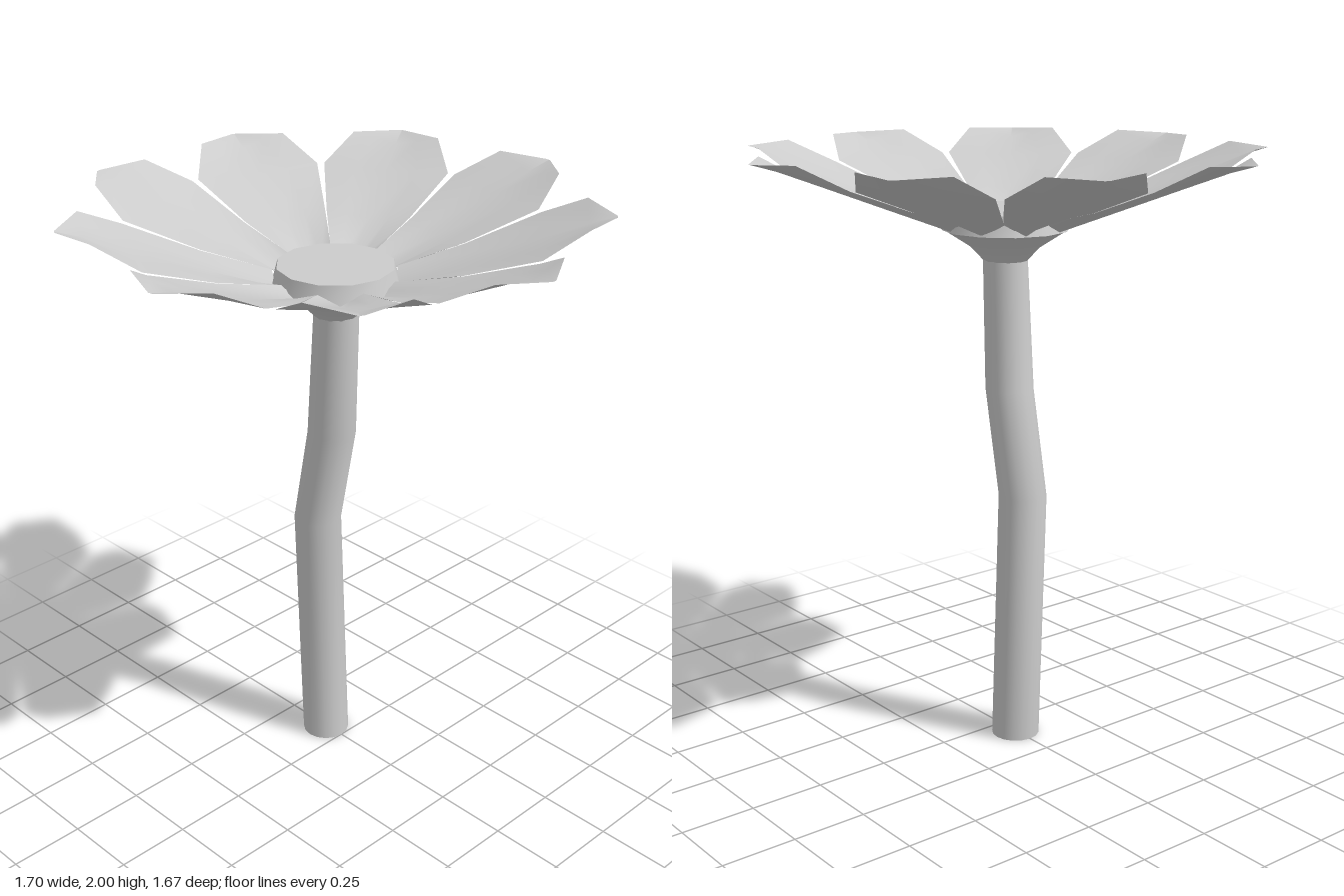
import * as THREE from 'three';
import { toCreasedNormals } from 'three/addons/utils/BufferGeometryUtils.js';

const FLOWER_Z = -0.025;
const PETALS = 9;

// Bent stem: each ring of a cylinder is moved to its own height, depth and radius
function stemGeometry() {
  const rings = [[1.66, -0.022, 0.073], [1.22, -0.045, 0.08], [0.87, -0.115, 0.08], [0, -0.08, 0.081]];
  const geo = new THREE.CylinderGeometry(1, 1, 3, 16, 3);
  const p = geo.attributes.position;
  for (let i = 0; i < p.count; i++) {
    const [y, z, r] = rings[Math.round(1.5 - p.getY(i))];
    p.setXYZ(i, p.getX(i) * r, y, p.getZ(i) * r + z);
  }
  return toCreasedNormals(geo, 0.7);
}

// Petal pointing along +z: rows of [distance, half width, middle height, edge height]
function petalGeometry() {
  const rows = [
    [0.19, 0.07, 1.745, 1.785],
    [0.4, 0.143, 1.825, 1.84],
    [0.635, 0.218, 1.915, 1.925],
    [0.775, 0.15, 1.968, 2.0],
    [0.86, 0.008, 1.993, 1.993],
  ];
  const geo = new THREE.PlaneGeometry(2, 2, 4, 4);
  const p = geo.attributes.position;
  for (let i = 0; i < p.count; i++) {
    const [dist, half, mid, edge] = rows[Math.floor(i / 5)];
    const u = p.getX(i);
    p.setXYZ(i, u * half, mid + (edge - mid) * Math.abs(u), dist);
  }
  geo.computeVertexNormals();
  return geo;
}

export function createModel() {
  const model = new THREE.Group();
  model.name = 'flower';
  const grey = new THREE.MeshStandardMaterial({ color: 0xcccccc });
  const thin = new THREE.MeshStandardMaterial({ color: 0xcccccc, side: THREE.DoubleSide });

  const add = (name, geo, parent, material = grey) => {
    const mesh = new THREE.Mesh(geo, material);
    mesh.name = name;
    parent.add(mesh);
    return mesh;
  };

  add('stem', stemGeometry(), model);

  const head = new THREE.Group();
  head.name = 'flowerHead';
  head.position.z = FLOWER_Z;
  model.add(head);

  // Flared cup under the petals
  const profile = [[0, 1.645], [0.073, 1.645], [0.115, 1.69], [0.205, 1.748]];
  const cup = new THREE.LatheGeometry(profile.map(([x, y]) => new THREE.Vector2(x, y)), 12);
  add('calyx', toCreasedNormals(cup, 0.7), head, thin);

  // Raised centre, narrower at its top
  const disc = new THREE.CylinderGeometry(0.19, 0.208, 0.065, 12);
  add('centreDisc', toCreasedNormals(disc, 0.7), head).position.y = 1.778;

  // Ring of petals, one facing straight forward
  const petal = petalGeometry();
  for (let i = 0; i < PETALS; i++) {
    add('petal' + (i + 1), petal, head, thin).rotation.y = (i / PETALS) * Math.PI * 2;
  }
  return model;
}
